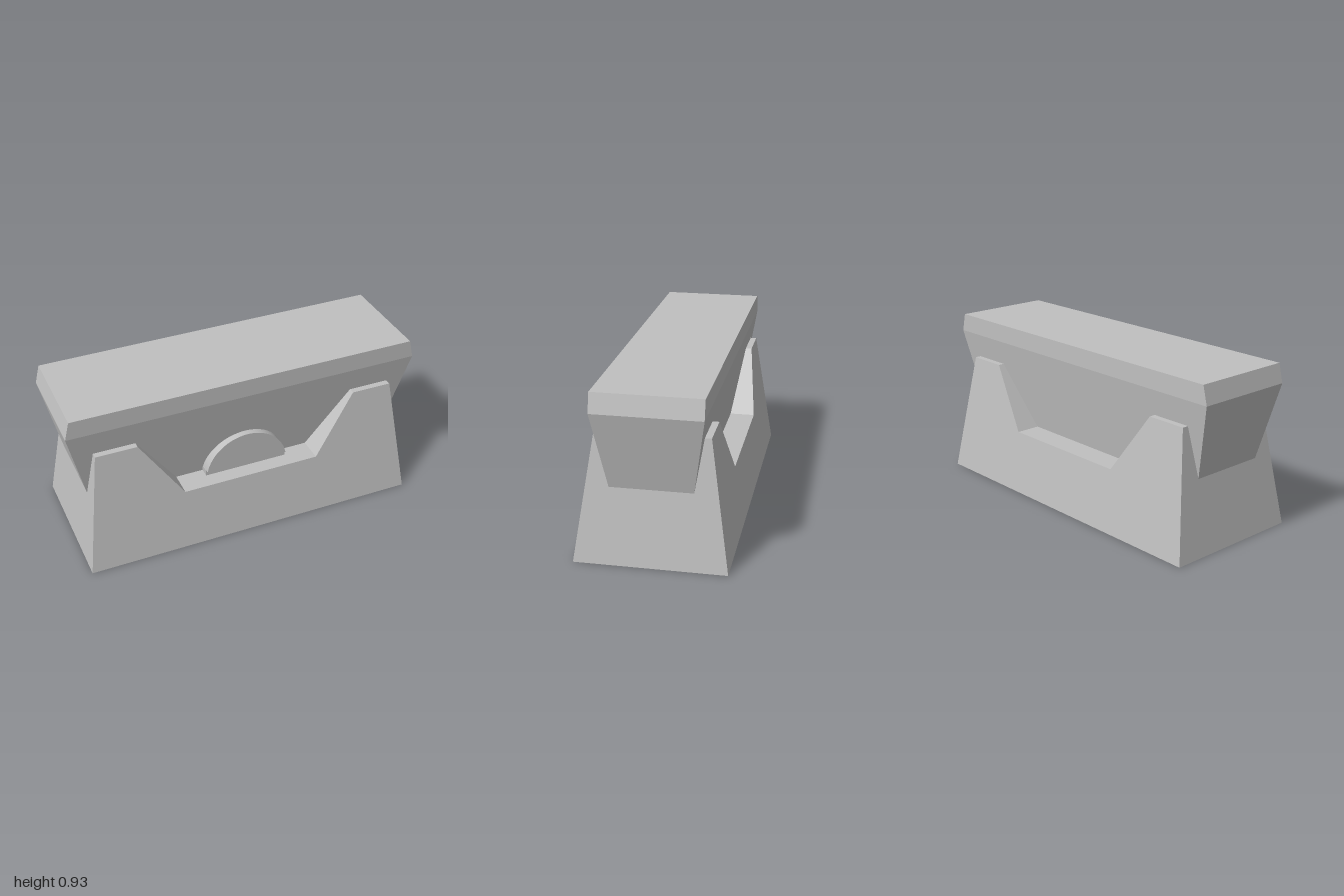
import * as THREE from 'three';

const stone = new THREE.MeshStandardMaterial({ color: 0xc0c0c0 });
stone.name = 'lightGrey';

function part(name, geometry) {
  const flat = geometry.index ? geometry.toNonIndexed() : geometry;
  flat.computeVertexNormals();
  const mesh = new THREE.Mesh(flat, stone);
  mesh.name = name;
  return mesh;
}

// Moves every vertex by a rule
function reshape(geometry, rule) {
  const p = geometry.attributes.position;
  for (let i = 0; i < p.count; i++) p.setXYZ(i, ...rule(p.getX(i), p.getY(i), p.getZ(i)));
  return geometry;
}

export function createModel() {
  const group = new THREE.Group();
  group.name = 'model';

  // Notched base, thinner towards the top
  const half = [[0.957, 0], [0.86, 0.686], [0.63, 0.686], [0.393, 0.345]];
  const outline = [...half, ...half.map(([x, y]) => [-x, y]).reverse()];
  const baseShape = new THREE.Shape(outline.map(([x, y]) => new THREE.Vector2(x, y)));
  const base = new THREE.ExtrudeGeometry(baseShape, { depth: 2, bevelEnabled: false });
  reshape(base, (x, y, z) => [x, y, (z - 1) * (0.398 - 0.15 * y)]);
  group.add(part('notchedBase', base));

  // Upper block: rows of y, half width and half depth
  const rows = [[0.3, 0.874, 0.199], [0.825, 1, 0.282], [0.928, 0.975, 0.282]];
  const block = reshape(new THREE.BoxGeometry(2, 2, 2, 1, 2, 1), (x, y, z) => {
    const [h, w, d] = rows[Math.round(y) + 1];
    return [x * w, h, z * d];
  });
  group.add(part('upperBlock', block));

  // Half disc on the front, above a slightly recessed strip
  const start = Math.asin(0.047 / 0.24);
  const discShape = new THREE.Shape();
  discShape.absarc(0, 0.33, 0.24, start, Math.PI - start, false);
  discShape.closePath();
  const disc = new THREE.ExtrudeGeometry(discShape, { depth: 0.087, bevelEnabled: false, curveSegments: 24 });
  disc.translate(0, 0, 0.19);
  group.add(part('halfDisc', disc));

  const strip = new THREE.BoxGeometry(0.475, 0.045, 0.075).translate(0, 0.3555, 0.2225);
  group.add(part('discFoot', strip));

  return group;
}
